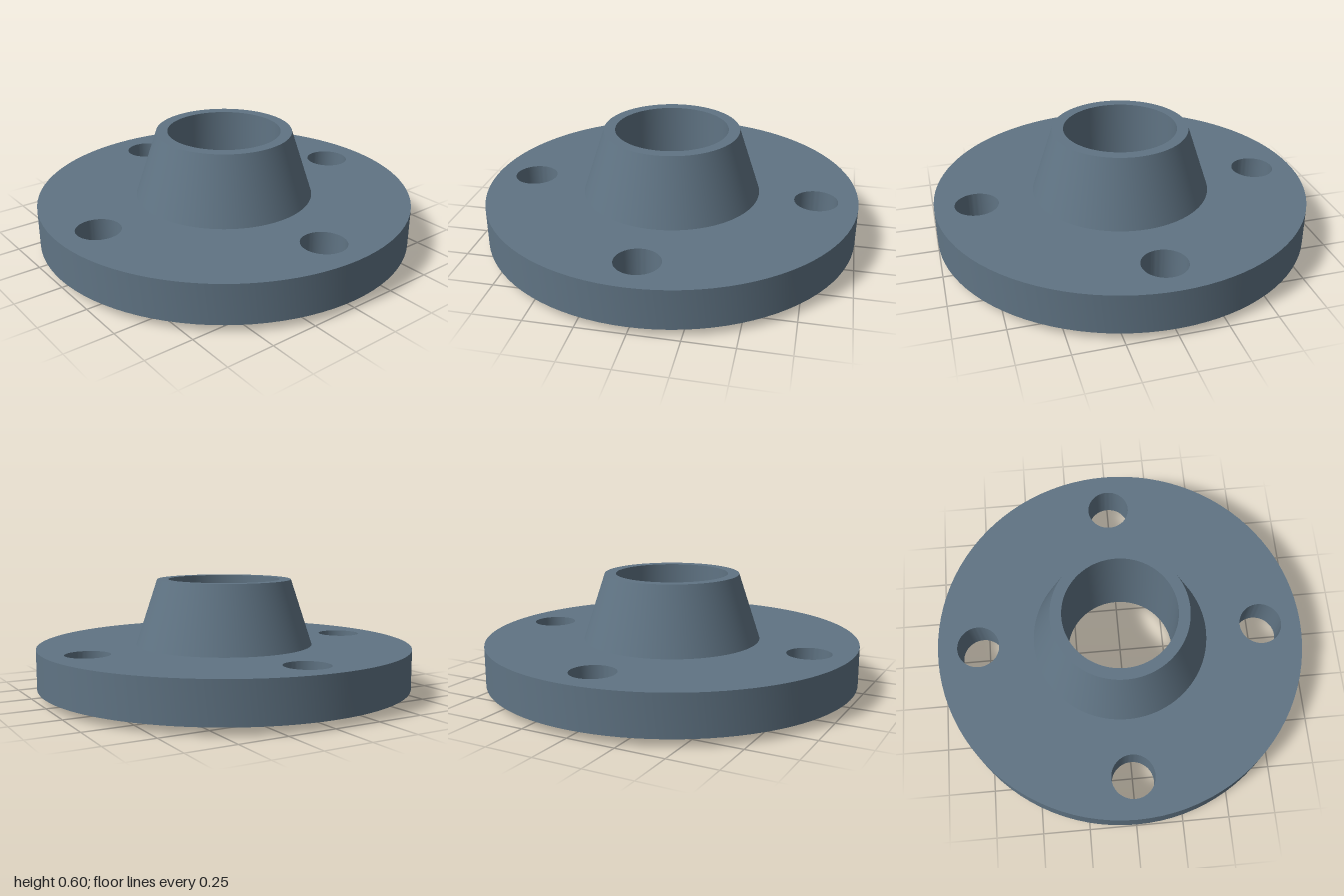
import * as THREE from 'three';
import { toCreasedNormals } from 'three/addons/utils/BufferGeometryUtils.js';

const SEGMENTS = 96;
const OUTER = 1, BORE = 0.3, FACE = 0.635, HUB_BASE = 0.475, HUB_TOP = 0.36;
const PLATE_BOTTOM = 0.04, PLATE_TOP = 0.25, HEIGHT = 0.6;
const BOLT_CIRCLE = 0.78, BOLT_RADIUS = 0.115, BOLT_COUNT = 4;

export function createModel() {
  const model = new THREE.Group();
  model.name = 'weldNeckFlange';
  const material = new THREE.MeshStandardMaterial({ color: 0x607484 });

  const add = (name, geometry) => {
    const mesh = new THREE.Mesh(geometry, material);
    mesh.name = name;
    model.add(mesh);
    return mesh;
  };

  // Revolve [radius, height] points, keeping profile corners sharp
  const revolve = (points, segments = SEGMENTS) => toCreasedNormals(
    new THREE.LatheGeometry(points.map(([r, y]) => new THREE.Vector2(r, y)), segments), 0.4);

  const boltCentres = Array.from({ length: BOLT_COUNT }, (_, i) => {
    const angle = (i / BOLT_COUNT) * Math.PI * 2;
    return [Math.cos(angle) * BOLT_CIRCLE, Math.sin(angle) * BOLT_CIRCLE];
  });

  // Flat ring drilled with the bolt holes
  const drilledRing = (innerRadius) => {
    const shape = new THREE.Shape().absarc(0, 0, OUTER, 0, Math.PI * 2);
    const cut = (x, y, r) => shape.holes.push(new THREE.Path().absarc(x, y, r, 0, Math.PI * 2, true));
    cut(0, 0, innerRadius);
    boltCentres.forEach(([x, y]) => cut(x, y, BOLT_RADIUS));
    return new THREE.ShapeGeometry(shape, SEGMENTS / 2);
  };

  // Flange plate: rim, top and underside
  add('plateRim', revolve([[OUTER, PLATE_BOTTOM], [OUTER, PLATE_TOP]]));
  add('plateTop', drilledRing(HUB_BASE).rotateX(-Math.PI / 2).translate(0, PLATE_TOP, 0));
  add('plateUnderside', drilledRing(FACE).rotateX(Math.PI / 2).translate(0, PLATE_BOTTOM, 0));

  // Tapered hub with its flat end, raised sealing face, and the bore through both
  add('taperedHub', revolve([[HUB_BASE, PLATE_TOP], [HUB_TOP, HEIGHT], [BORE, HEIGHT]]));
  add('raisedFace', revolve([[BORE, 0], [FACE, 0], [FACE, PLATE_BOTTOM]]));
  add('bore', revolve([[BORE, HEIGHT], [BORE, 0]]));

  // Bolt hole walls, facing inward
  const wall = revolve([[BOLT_RADIUS, PLATE_TOP], [BOLT_RADIUS, PLATE_BOTTOM]]);
  boltCentres.forEach(([x, z], i) => add(`boltHole${i + 1}`, wall).position.set(x, 0, z));

  return model;
}
